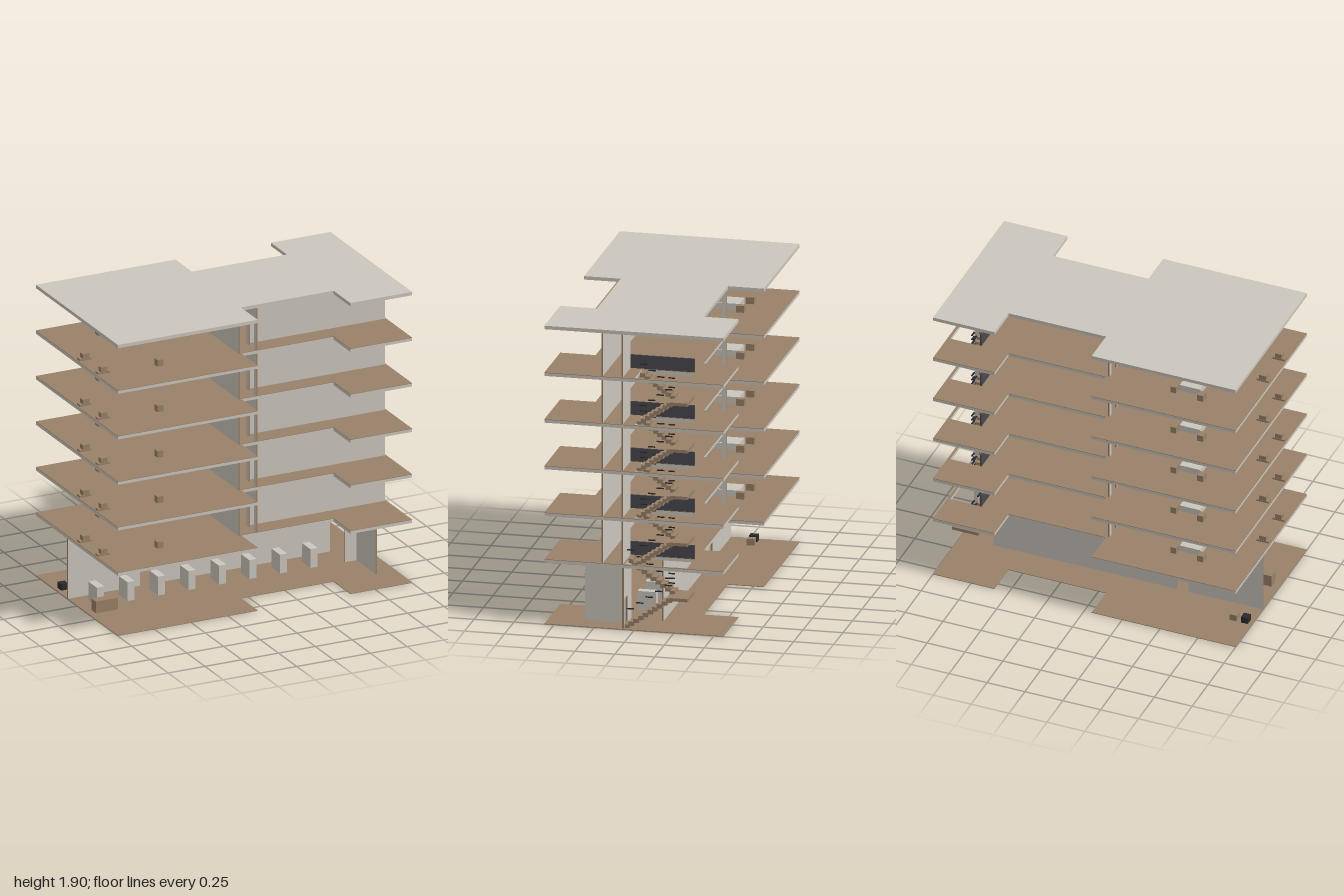
import * as THREE from 'three';

const mat = (name, color) => {
  const m = new THREE.MeshStandardMaterial({ color });
  m.name = name;
  return m;
};

export function createModel() {
  const plaster = mat('plaster', 0xcbc6bd);
  const wood = mat('wood', 0x9a8168);
  const railGrey = mat('railGrey', 0x4a494f);
  const dark = mat('darkMetal', 0x2a2a2e);

  const root = new THREE.Group();
  const add = (parent, name, geo, material) => {
    const mesh = new THREE.Mesh(geo, material);
    mesh.name = name;
    parent.add(mesh);
    return mesh;
  };
  // box given by its min and max on each axis
  const box = (parent, name, material, x0, x1, y0, y1, z0, z1) => {
    const m = add(parent, name, new THREE.BoxGeometry(x1 - x0, y1 - y0, z1 - z0), material);
    m.position.set((x0 + x1) / 2, (y0 + y1) / 2, (z0 + z1) / 2);
    return m;
  };
  // thin wall from a to b with door notches; plaster faces, wooden edges
  const T = 0.01;
  const wall = (parent, name, axis, at, a, b, y0, h, doors = [], doorH = 0.19) => {
    const s = new THREE.Shape();
    s.moveTo(a, 0);
    for (const [d0, d1] of doors) {
      s.lineTo(d0, 0);
      s.lineTo(d0, doorH);
      s.lineTo(d1, doorH);
      s.lineTo(d1, 0);
    }
    s.lineTo(b, 0);
    s.lineTo(b, h);
    s.lineTo(a, h);
    s.closePath();
    const g = new THREE.ExtrudeGeometry(s, { depth: T, bevelEnabled: false });
    g.translate(0, 0, -T / 2);
    if (axis === 'z') g.rotateY(-Math.PI / 2);
    const m = add(parent, name, g, [plaster, wood]);
    m.position.set(axis === 'z' ? at : 0, y0, axis === 'z' ? 0 : at);
  };

  // footprint plate, optionally with the stairwell cut out up to holeZ
  const plate = (parent, name, material, top, depth, holeZ = null) => {
    const pts = [[-1, -0.565], [-0.05, -0.565], [-0.05, -0.34], [0.595, -0.34], [0.595, -0.56],
      [1, -0.56], [1, 0.56], [0.58, 0.56], [0.58, 0.33], [-0.05, 0.33], [-0.05, 0.56], [-1, 0.56]];
    const s = new THREE.Shape(pts.map(p => new THREE.Vector2(...p)));
    if (holeZ !== null) {
      s.holes.push(new THREE.Path([[0.788, -0.33], [0.788, holeZ], [0.985, holeZ], [0.985, -0.33]]
        .map(p => new THREE.Vector2(...p))));
    }
    const g = new THREE.ExtrudeGeometry(s, { depth, bevelEnabled: false });
    g.rotateX(Math.PI / 2);
    add(parent, name, g, material).position.y = top;
  };

  // two flights with a half landing, and short handrail pieces
  const stairs = (parent, y0, y1, zStart, n) => {
    const g = new THREE.Group();
    g.name = 'stairs';
    parent.add(g);
    const zEnd = -0.225, mid = (y0 + y1) / 2;
    const rise = (mid - y0) / n, run = (zStart - zEnd) / n;
    for (let i = 0; i < n; i++) {
      const zf = zStart - i * run;
      const ya = y0 + (i + 1) * rise, yb = y1 - i * rise;
      box(g, 'lowerStep', wood, 0.885, 0.97, Math.max(ya - 0.026, y0), ya, zf - run - 0.006, zf);
      box(g, 'upperStep', wood, 0.795, 0.88, yb - 0.026, yb, zf - run - 0.006, zf);
      if (i % 2 === 0) {
        box(g, 'lowerHandrail', dark, 0.885, 0.895, ya + 0.075, ya + 0.081, zf - 0.045, zf);
        box(g, 'upperHandrail', dark, 0.87, 0.88, yb + 0.055, yb + 0.061, zf - 0.045, zf);
      }
    }
    box(g, 'landing', wood, 0.795, 0.97, mid - 0.016, mid + 0.004, -0.33, -0.22);
    for (const dy of [0.07, 0.1, 0.13]) {
      box(g, 'landingRail', dark, 0.877, 0.887, mid + dy, mid + dy + 0.006, -0.23, -0.19);
    }
  };

  const tops = [0.415, 0.712, 1.01, 1.307, 1.605, 1.903];
  const slabT = 0.022;

  // ground storey
  const ground = new THREE.Group();
  ground.name = 'groundStorey';
  root.add(ground);
  plate(ground, 'groundFloor', wood, 0.004, 0.004);
  const gh = tops[0] - slabT - 0.004;
  wall(ground, 'lobbyBackWall', 'x', -0.13, -1, 0.78, 0.004, gh, [[-0.51, -0.43]], 0.185);
  wall(ground, 'stairFrontWall', 'x', 0.07, 0.785, 0.99, 0.004, gh, [[0.885, 0.97]], 0.185);
  wall(ground, 'entranceSideWall', 'z', 0.867, 0.07, 0.337, 0.004, gh);
  for (let i = 0; i < 8; i++) {
    const x = -0.875 + i * 0.2073;
    box(ground, 'lobbyBlock', plaster, x - 0.025, x + 0.025, 0, 0.127, -0.045, 0.07);
  }
  box(ground, 'receptionDesk', wood, -0.955, -0.805, 0.004, 0.08, 0.11, 0.17);
  box(ground, 'stool', wood, -0.9, -0.855, 0.004, 0.045, -0.315, -0.265);
  box(ground, 'darkStool', dark, -0.975, -0.93, 0.004, 0.045, -0.315, -0.265);
  stairs(ground, 0.004, tops[0], 0.07, 10);

  // upper storeys
  for (let i = 0; i < 5; i++) {
    const y = tops[i], h = tops[i + 1] - slabT - y;
    const f = new THREE.Group();
    f.name = 'storey' + (i + 1);
    root.add(f);
    const holeZ = i === 0 ? 0.06 : 0;
    plate(f, 'slab', plaster, y - 0.003, slabT - 0.003, holeZ);
    plate(f, 'floorFinish', wood, y, 0.003, holeZ);
    wall(f, 'corridorWestWall', 'z', -0.065, -0.33, 0.337, y, h, [[-0.3, -0.22]]);
    wall(f, 'corridorEastWall', 'z', 0.055, 0.2, 0.337, y, h, [[0.23, 0.31]]);
    wall(f, 'frontWall', 'x', 0.2, 0.06, 0.99, y, h);
    wall(f, 'stairWall', 'x', 0.075, 0.785, 0.99, y, h);
    box(f, 'stairRailing', railGrey, 0.776, 0.786, y, y + 0.085, -0.33, 0.07);
    if (i < 4) stairs(f, y, tops[i + 1], -0.01, 8);
    // furniture
    box(f, 'bed', plaster, -0.655, -0.52, y, y + 0.04, -0.3, -0.1);
    box(f, 'bedsideTable', wood, -0.7, -0.66, y, y + 0.042, -0.36, -0.31);
    box(f, 'bedsideTable', wood, -0.513, -0.475, y, y + 0.042, -0.34, -0.29);
    box(f, 'seat', wood, -0.607, -0.567, y, y + 0.042, 0.27, 0.31);
    for (const z of [0, 0.25]) {
      box(f, 'sideTableBase', wood, -0.99, -0.91, y, y + 0.012, z - 0.02, z + 0.02);
      box(f, 'sideTableTop', wood, -0.97, -0.925, y + 0.012, y + 0.042, z - 0.018, z + 0.018);
    }
  }

  // roof
  plate(root, 'roof', plaster, tops[5], slabT);
  return root;
}
